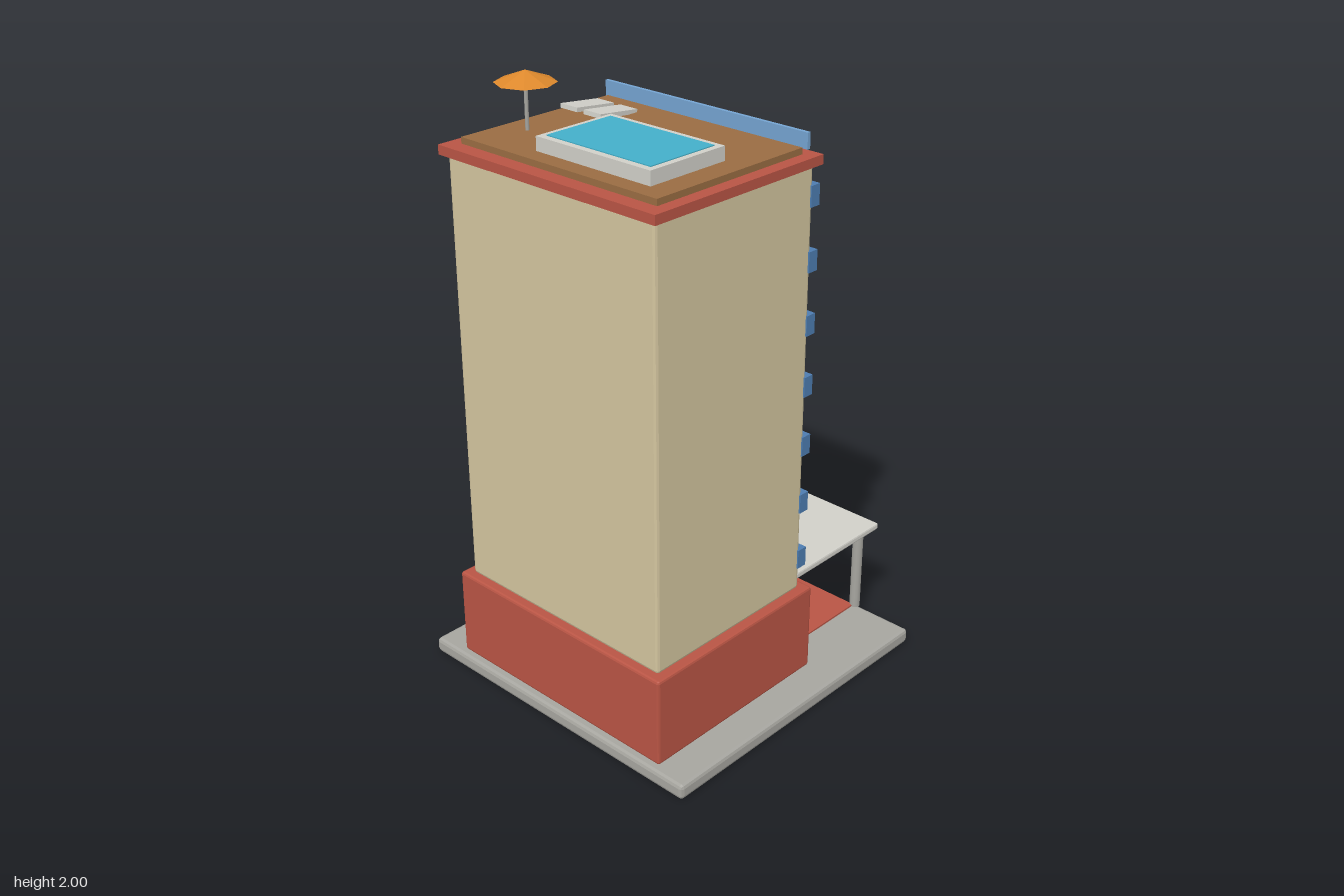
import * as THREE from 'three';
import { RoundedBoxGeometry } from 'three/addons/geometries/RoundedBoxGeometry.js';

export function createModel() {
  const model = new THREE.Group();
  model.name = 'hotelTower';

  const paint = (name, color) => {
    const m = new THREE.MeshStandardMaterial({ color });
    m.name = name;
    return m;
  };
  const red = paint('brickRed', 0xb85444);
  const beige = paint('sandBeige', 0xd2c49e);
  const stone = paint('stoneGrey', 0xa6a59f);
  const pale = paint('paleConcrete', 0xd0cfc8);
  const wood = paint('deckBrown', 0x996c42);
  const water = paint('poolWater', 0x43afc9);
  const orange = paint('orange', 0xdd882c);
  const blue = paint('windowBlue', 0x4d7cb0);
  const glass = paint('lightGlass', 0x74a3d0);

  const add = (name, geometry, material, x, y, z) => {
    const mesh = new THREE.Mesh(geometry, material);
    mesh.name = name;
    mesh.position.set(x, y, z);
    model.add(mesh);
    return mesh;
  };
  // Box given by its limits on each axis, with an optional chamfer
  const box = (name, material, [x0, x1], [y0, y1], [z0, z1], bevel = 0) => {
    const size = [x1 - x0, y1 - y0, z1 - z0];
    let g = new THREE.BoxGeometry(...size);
    if (bevel) {
      g = new RoundedBoxGeometry(...size, 1, bevel);
      g.computeVertexNormals(); // flat facets on the chamfer
    }
    return add(name, g, material, (x0 + x1) / 2, (y0 + y1) / 2, (z0 + z1) / 2);
  };
  const rod = (name, material, r, y0, y1, x, z, sides = 12) =>
    add(name, new THREE.CylinderGeometry(r, r, y1 - y0, sides), material, x, (y0 + y1) / 2, z);
  const faceted = (geometry) => {
    const g = geometry.toNonIndexed();
    g.computeVertexNormals();
    return g;
  };

  // Ground slab, podium and tower
  box('groundSlab', stone, [-0.565, 0.565], [0, 0.05], [-0.545, 0.585], 0.012);
  box('podium', red, [-0.446, 0.446], [0.05, 0.352], [-0.155, 0.558], 0.008);
  box('tower', beige, [-0.415, 0.415], [0.35, 1.77], [-0.124, 0.528], 0.01);
  box('cornice', red, [-0.434, 0.434], [1.77, 1.8], [-0.143, 0.547]);

  // Seven floors of window bands on the back and right side
  for (let i = 0; i < 7; i++) {
    const y = 0.46 + i * 0.2027;
    const level = [y - 0.033, y + 0.033];
    box('backWindowBand', blue, [-0.42, 0.42], level, [-0.15, -0.113]);
    box('sideWindowBand', blue, [-0.445, -0.41], level, [-0.065, 0.46]);
  }
  box('verticalStripe', red, [0.23, 0.36], [0.41, 1.71], [-0.155, -0.12]);
  box('signPanel', orange, [0.255, 0.338], [1.55, 1.635], [-0.182, -0.152], 0.006);

  // Roof terrace
  box('roofDeck', wood, [-0.391, 0.391], [1.8, 1.82], [-0.1, 0.495]);
  box('poolRim', pale, [-0.135, 0.311], [1.82, 1.864], [0.14, 0.436]);
  box('poolWater', water, [-0.114, 0.291], [1.863, 1.867], [0.162, 0.414]);
  box('glassParapet', glass, [-0.405, 0.405], [1.815, 1.865], [-0.117, -0.105]);
  for (const x of [-0.33, -0.23]) {
    const lounger = box('lounger', pale, [x - 0.036, x + 0.036], [1.824, 1.838], [-0.03, 0.125]);
    lounger.rotation.x = -0.11;
  }
  rod('umbrellaPole', stone, 0.006, 1.82, 1.98, -0.3, 0.32, 8);
  add('umbrella', faceted(new THREE.ConeGeometry(0.094, 0.036, 8)), orange, -0.3, 1.982, 0.32);

  // Entrance: carpet, glazed wall, revolving door
  box('entranceCarpet', red, [-0.34, 0.34], [0.049, 0.056], [-0.53, -0.15]);
  box('entranceGlazing', blue, [-0.15, 0.15], [0.05, 0.298], [-0.176, -0.15]);
  const door = faceted(new THREE.CylinderGeometry(0.11, 0.11, 0.225, 12));
  add('revolvingDoor', door, glass, 0, 0.1675, -0.16).rotation.y = Math.PI / 12;

  // Canopy on two columns
  box('canopy', pale, [-0.387, 0.387], [0.354, 0.377], [-0.588, -0.143], 0.006);
  for (const x of [-0.34, 0.34]) rod('canopyColumn', stone, 0.018, 0.05, 0.356, x, -0.54);

  // Flagpoles with flags
  [orange, pale, blue].forEach((material, i) => {
    const x = -0.45 + i * 0.09;
    rod('flagpole', stone, 0.005, 0.05, 0.56, x, -0.503, 8);
    box('flag', material, [x - 0.004, x + 0.004], [0.5, 0.548], [-0.5, -0.432]);
  });

  return model;
}
